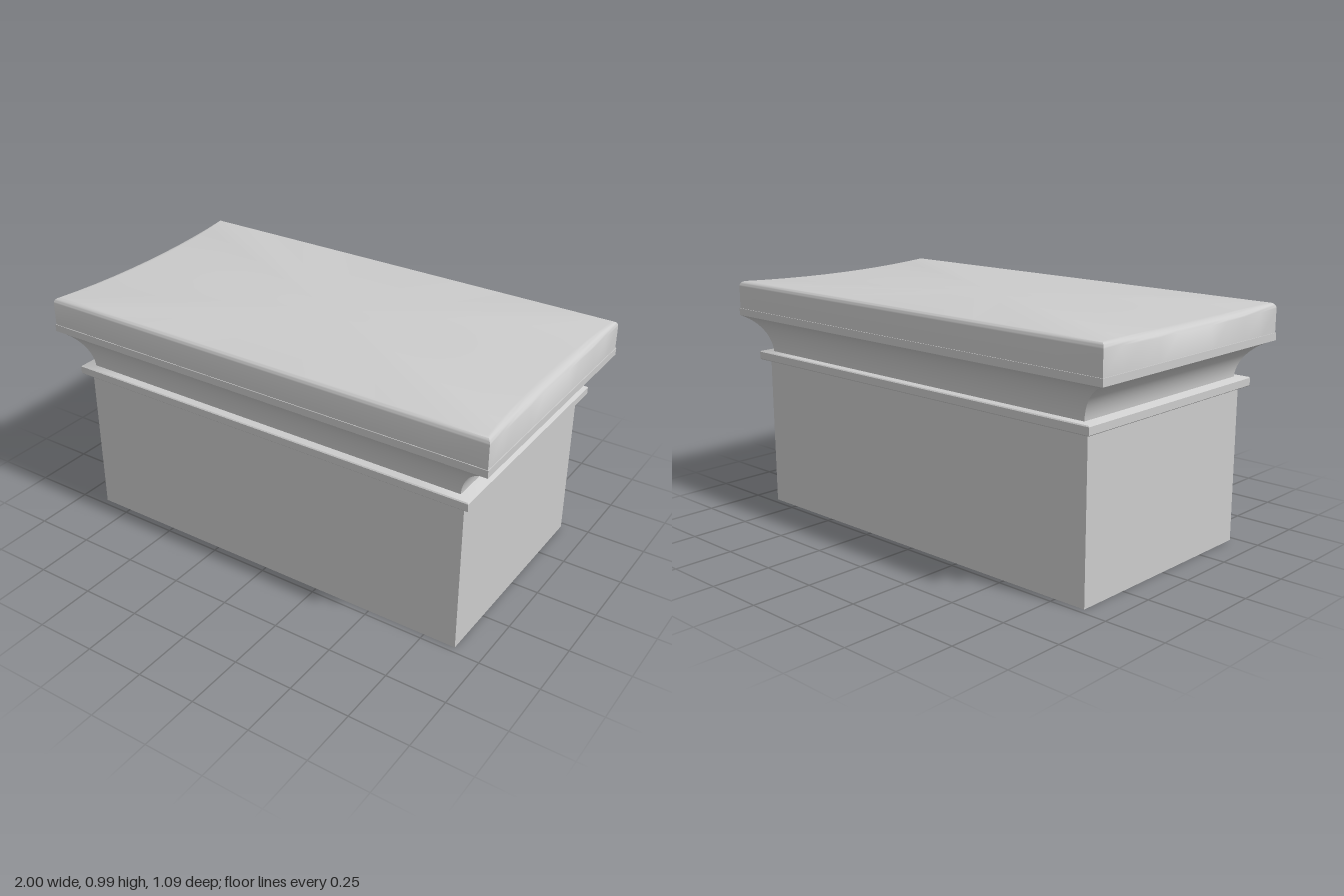
import * as THREE from 'three';
import { toCreasedNormals } from 'three/addons/utils/BufferGeometryUtils.js';

const material = new THREE.MeshStandardMaterial({ color: 0xcccccc });
const SEGMENTS = 10;

// One rectangular ring; bow hollows the two short ends, sag lowers their middle.
function ring({ x, z, y, bow = 0, sag = 0 }) {
  const corners = [[x, z], [x, -z], [-x, -z], [-x, z]];
  const points = [];
  corners.forEach(([ax, az], side) => {
    const [bx, bz] = corners[(side + 1) % 4];
    for (let i = 0; i < SEGMENTS; i++) {
      const t = i / SEGMENTS;
      const px = ax + (bx - ax) * t;
      const pz = az + (bz - az) * t;
      const hollow = (1 - (pz / z) ** 2) * Math.abs(px / x);
      points.push([px - Math.sign(px) * bow * hollow, y - sag * hollow, pz]);
    }
  });
  return points;
}

// Closed solid through a stack of rectangular rings, bottom to top.
function stack(name, levels) {
  const rings = levels.map(ring);
  const n = rings[0].length;
  const positions = [];
  const triangle = (...p) => p.forEach((v) => positions.push(...v));
  for (let r = 0; r < rings.length - 1; r++) {
    for (let i = 0; i < n; i++) {
      const j = (i + 1) % n;
      const [lo, hi] = [rings[r], rings[r + 1]];
      triangle(lo[i], lo[j], hi[j]);
      triangle(lo[i], hi[j], hi[i]);
    }
  }
  const last = rings.length - 1;
  for (let i = 0; i < n; i++) {
    const j = (i + 1) % n;
    triangle([0, levels[0].y, 0], rings[0][j], rings[0][i]);
    triangle([0, levels[last].y, 0], rings[last][i], rings[last][j]);
  }
  const geometry = new THREE.BufferGeometry();
  geometry.setAttribute('position', new THREE.Float32BufferAttribute(positions, 3));
  const mesh = new THREE.Mesh(toCreasedNormals(geometry, 0.7), material);
  mesh.name = name;
  return mesh;
}

export function createModel() {
  const group = new THREE.Group();
  group.name = 'pierCapital';

  // Plain block
  group.add(stack('body', [
    { x: 0.885, z: 0.474, y: 0 },
    { x: 0.885, z: 0.474, y: 0.66 },
  ]));

  // Thin projecting band
  group.add(stack('neckBand', [
    { x: 0.912, z: 0.505, y: 0.647 },
    { x: 0.917, z: 0.509, y: 0.651 },
    { x: 0.917, z: 0.509, y: 0.681 },
    { x: 0.912, z: 0.505, y: 0.685 },
  ]));

  // Concave flare ending in a narrow upright fillet
  const flare = [];
  for (let i = 0; i <= 12; i++) {
    const a = (i / 12) * 1.25;
    const out = (1 - Math.cos(a)) / (1 - Math.cos(1.25));
    flare.push({
      x: 0.866 + 0.134 * out,
      z: 0.471 + 0.075 * out,
      y: 0.675 + 0.163 * Math.sin(a) / Math.sin(1.25),
    });
  }
  flare.push({ x: 1, z: 0.546, y: 0.868 });
  group.add(stack('flaredMoulding', flare));

  // Top slab with softened upper edge and slightly hollow ends
  const slab = [{ x: 0.997, z: 0.543, y: 0.86 }];
  const radius = 0.022;
  for (let i = 0; i <= 6; i++) {
    const a = (i / 6) * Math.PI / 2;
    const inset = radius * (1 - Math.cos(a));
    slab.push({
      x: 0.997 - inset,
      z: 0.543 - inset,
      y: 0.965 + radius * Math.sin(a),
      bow: 0.012 + 0.02 * (i / 6),
      sag: 0.012,
    });
  }
  group.add(stack('topSlab', slab));

  return group;
}
